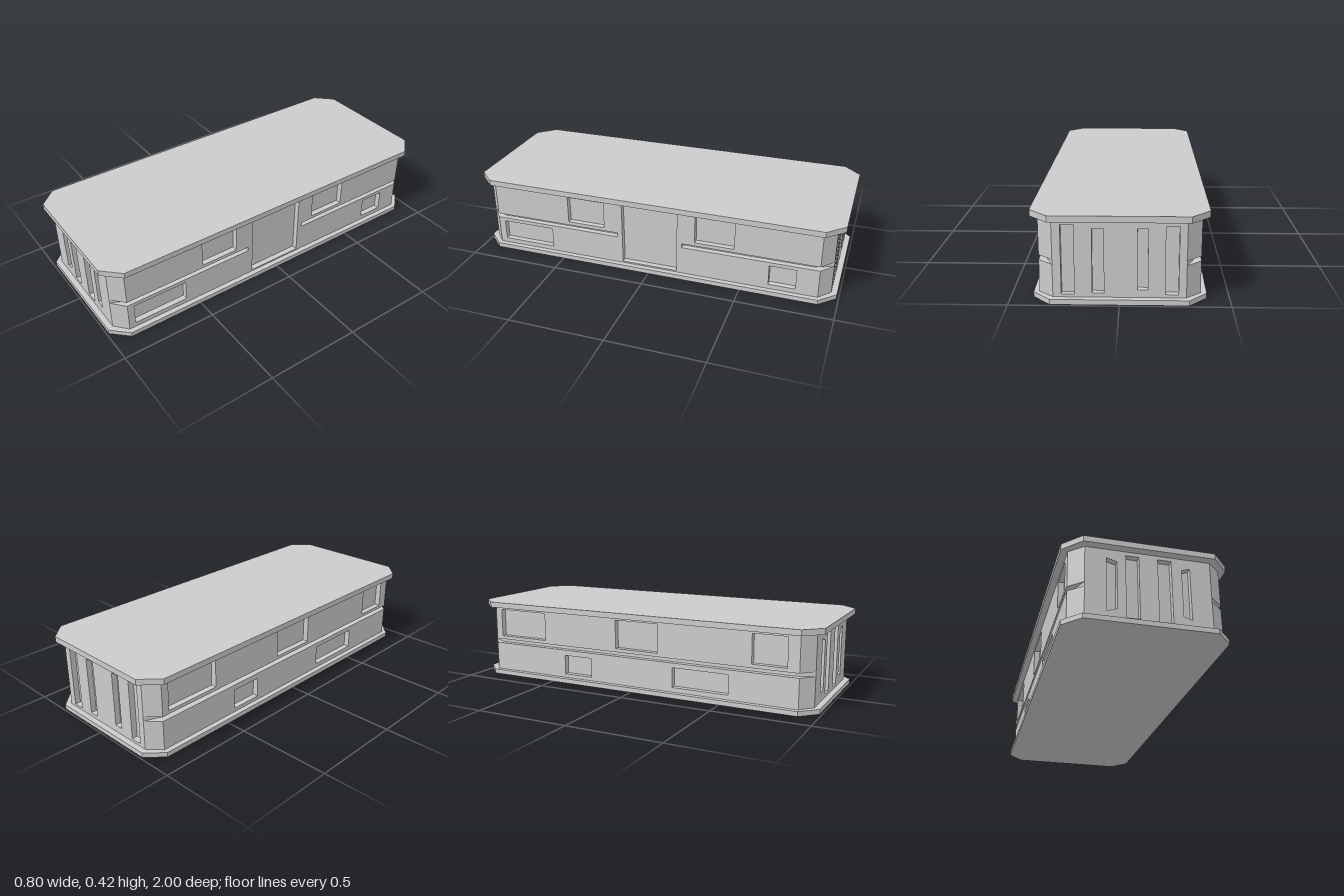
import * as THREE from 'three';

const BOTTOM = 0.025, TOP = 0.39;      // wall height range
const GROOVE_LOW = 0.18, GROOVE_HIGH = 0.203;
const DEPTH = 0.03;                    // recess depth

const material = new THREE.MeshStandardMaterial({ color: 0xcccccc, flatShading: true });
const points = (list) => list.map(([x, y]) => new THREE.Vector2(x, y));
const rect = (u0, u1, v0, v1) => [[u0, v0], [u1, v0], [u1, v1], [u0, v1]];

function addMesh(group, name, geometry) {
  const mesh = new THREE.Mesh(geometry, material);
  mesh.name = name;
  group.add(mesh);
}

// Vertical prism from a plan outline of [x, z] points
function prism(outline, y0, y1) {
  const shape = new THREE.Shape(points(outline.map(([x, z]) => [x, -z])));
  const geometry = new THREE.ExtrudeGeometry(shape, { depth: y1 - y0, bevelEnabled: false });
  return geometry.rotateX(-Math.PI / 2).translate(0, y0, 0);
}

// Mirror one quarter of a plan, listed from the side to the end, into a closed outline
function mirrorQuarter(quarter) {
  const flip = (sx, sz) => quarter.map(([x, z]) => [x * sx, z * sz]);
  return [
    ...flip(1, 1), ...flip(-1, 1).reverse(),
    ...flip(-1, -1), ...flip(1, -1).reverse(),
  ];
}

// Wall panel with cut-outs, turned to face outwards at the given distance
function panel(outlines, holes, angle, distance) {
  const shapes = outlines.map((outline) => new THREE.Shape(points(outline)));
  for (const hole of holes) {
    const midY = (hole[0][1] + hole[2][1]) / 2;
    const target = shapes.length > 1 && midY > GROOVE_HIGH ? shapes[1] : shapes[0];
    target.holes.push(new THREE.Path(points(hole)));
  }
  return new THREE.ExtrudeGeometry(shapes, { depth: DEPTH, bevelEnabled: false })
    .translate(0, 0, distance - DEPTH)
    .rotateY(angle);
}

export function createModel() {
  const model = new THREE.Group();
  model.name = 'building';

  // Floor slab and overhanging roof slab
  addMesh(model, 'baseSlab', prism(mirrorQuarter([[0.395, 0.905], [0.313, 0.99]]), 0, BOTTOM));
  addMesh(model, 'roofSlab', prism(mirrorQuarter([[0.402, 0.91], [0.315, 1]]), TOP, 0.42));

  // Core forms the backs of all recesses
  const core = [[0.338, 0.87], [0.3, 0.96], [0.275, 0.96], [0.275, 0.93]];
  addMesh(model, 'core', prism(mirrorQuarter(core), BOTTOM, TOP));

  // Chamfered corners, split by the groove
  for (const sx of [-1, 1]) for (const sz of [-1, 1]) {
    const corner = [[0.338, 0.87], [0.368, 0.87], [0.368, 0.9], [0.3, 0.96]]
      .map(([x, z]) => [x * sx, z * sz]);
    addMesh(model, 'lowerCorner', prism(corner, BOTTOM, GROOVE_LOW));
    addMesh(model, 'upperCorner', prism(corner, GROOVE_HIGH, TOP));
  }

  // Door side: groove stops short of the door
  const E = 0.87, G = 0.18;
  const doorSide = [
    [-E, BOTTOM], [E, BOTTOM], [E, GROOVE_LOW], [G, GROOVE_LOW], [G, GROOVE_HIGH], [E, GROOVE_HIGH],
    [E, TOP], [-E, TOP], [-E, GROOVE_HIGH], [-G, GROOVE_HIGH], [-G, GROOVE_LOW], [-E, GROOVE_LOW],
  ];
  addMesh(model, 'doorSideWall', panel([doorSide], [
    rect(-0.153, 0.153, 0.033, 0.385),
    rect(-0.465, -0.257, 0.222, 0.37),
    rect(0.25, 0.46, 0.222, 0.378),
    rect(-0.864, -0.57, 0.05, 0.16),
    rect(0.645, 0.785, 0.05, 0.16),
  ], Math.PI / 2, 0.368));

  // Window side: groove runs the full length
  addMesh(model, 'windowSideWall', panel(
    [rect(-E, E, BOTTOM, GROOVE_LOW), rect(-E, E, GROOVE_HIGH, TOP)],
    [
      rect(-0.86, -0.56, 0.222, 0.375),
      rect(-0.105, 0.143, 0.222, 0.375),
      rect(0.66, 0.84, 0.222, 0.375),
      rect(-0.43, -0.26, 0.045, 0.15),
      rect(0.23, 0.54, 0.05, 0.155),
    ], -Math.PI / 2, 0.368));

  // End walls with tall slots
  const endOutline = rect(-0.275, 0.275, BOTTOM, TOP);
  addMesh(model, 'frontWall', panel([endOutline], [
    [[-0.2, 0.068], [-0.15, 0.085], [-0.15, 0.33], [-0.2, 0.345]],
    rect(-0.108, -0.045, 0.045, 0.37),
    rect(0.045, 0.11, 0.043, 0.371),
    [[0.16, 0.083], [0.2, 0.07], [0.2, 0.343], [0.16, 0.33]],
  ], 0, 0.96));
  addMesh(model, 'backWall', panel([endOutline], [
    rect(-0.262, -0.203, 0.038, 0.368),
    rect(-0.123, -0.07, 0.045, 0.35),
    rect(0.08, 0.127, 0.062, 0.35),
    rect(0.205, 0.265, 0.04, 0.362),
  ], Math.PI, 0.96));

  return model;
}
